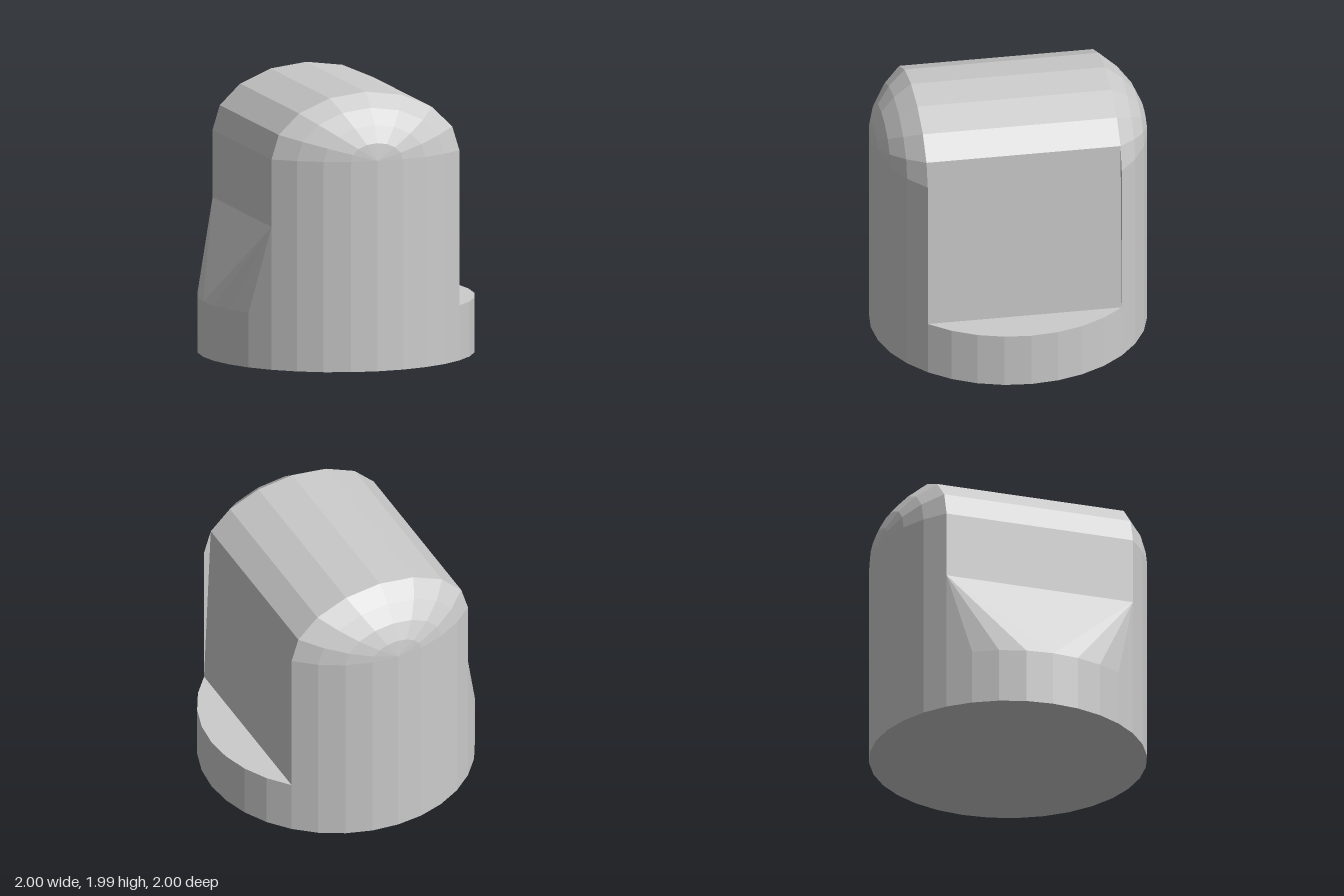
import * as THREE from 'three';

const H = Math.SQRT1_2;              // half width of the vaulted body
const STEP = 0.4, SLOPE = 1.04, SPRING = 1.53, RISE = 0.46;
const SEG = Math.PI / 16;            // 32-sided plan

const flip = ([x, y, z]) => [x, y, -z];

// flat faces from polygons whose corners run counter-clockwise seen from outside
function facets(polygons) {
  const pos = [];
  for (const p of polygons)
    for (let i = 1; i < p.length - 1; i++) pos.push(...p[0], ...p[i], ...p[i + 1]);
  const g = new THREE.BufferGeometry();
  g.setAttribute('position', new THREE.Float32BufferAttribute(pos, 3));
  g.computeVertexNormals();
  return g;
}

// the same polygons plus their mirror images across z = 0
const withMirror = (polys) => [...polys, ...polys.map((p) => p.map(flip).reverse())];

// point on the rounded end: ring k (0 = tip, 4 = vault edge), arch step j (0 = left, 8 = right)
function dome(k, j) {
  const s = Math.sin(k * SEG), a = j * Math.PI / 8;
  return [s * Math.cos(a), SPRING + RISE * (s / H) * Math.sin(a), Math.cos(k * SEG)];
}

export function createModel() {
  const group = new THREE.Group();
  const material = new THREE.MeshStandardMaterial({ color: 0xcccccc, flatShading: true });
  const add = (name, geometry) => {
    const mesh = new THREE.Mesh(geometry, material);
    mesh.name = name;
    group.add(mesh);
    return mesh;
  };

  // round base with its underside
  add('baseWall', new THREE.CylinderGeometry(1, 1, STEP, 32, 1, true)).position.y = STEP / 2;
  add('baseUnderside', new THREE.CircleGeometry(1, 32)).rotation.x = Math.PI / 2;

  // curved walls at front and back
  const wallHeight = SPRING - STEP;
  for (const [name, mid] of [['frontWall', 0], ['backWall', Math.PI]]) {
    const wall = new THREE.CylinderGeometry(1, 1, wallHeight, 8, 1, true, mid - Math.PI / 4, Math.PI / 2);
    add(name, wall).position.y = STEP + wallHeight / 2;
  }

  // rounded ends of the roof
  const cap = [];
  for (let k = 0; k < 4; k++)
    for (let j = 0; j < 8; j++) {
      const p = [dome(k, j), dome(k + 1, j), dome(k + 1, j + 1)];
      if (k > 0) p.push(dome(k, j + 1));
      cap.push(p);
    }
  add('roofEnds', facets(withMirror(cap)));

  // barrel vault between the ends
  const vault = [];
  for (let j = 1; j < 8; j++) {
    const a = dome(4, j), b = dome(4, j + 1);
    vault.push([a, flip(a), flip(b), b]);
  }
  add('roofVault', facets(vault));

  // flat wall above the step, leaning in to the vault, with slivers closing its ends
  const foot = [H, STEP, H], lip = dome(4, 1);
  add('flatWall', facets([
    [foot, flip(foot), flip(lip), lip],
    ...withMirror([[foot, lip, dome(4, 0)]]),
  ]));

  // flat top of the step
  const step = [];
  for (let i = 4; i <= 12; i++) step.push([Math.sin(i * SEG), STEP, Math.cos(i * SEG)]);
  add('stepTop', facets([step]));

  // upright wall above the slope
  const corner = [-H, SLOPE, H], spring = [-H, SPRING, H];
  add('upperSideWall', facets([[flip(corner), corner, spring, flip(spring)]]));

  // slope fanning from the wall corners down to the round rim
  const rim = (i) => [-Math.sin(i * SEG), STEP, Math.cos(i * SEG)];
  const fan = [];
  for (let i = 4; i < 8; i++) fan.push([corner, rim(i + 1), rim(i)]);
  add('sideSlope', facets([[flip(corner), rim(8), corner], ...withMirror(fan)]));

  return group;
}
